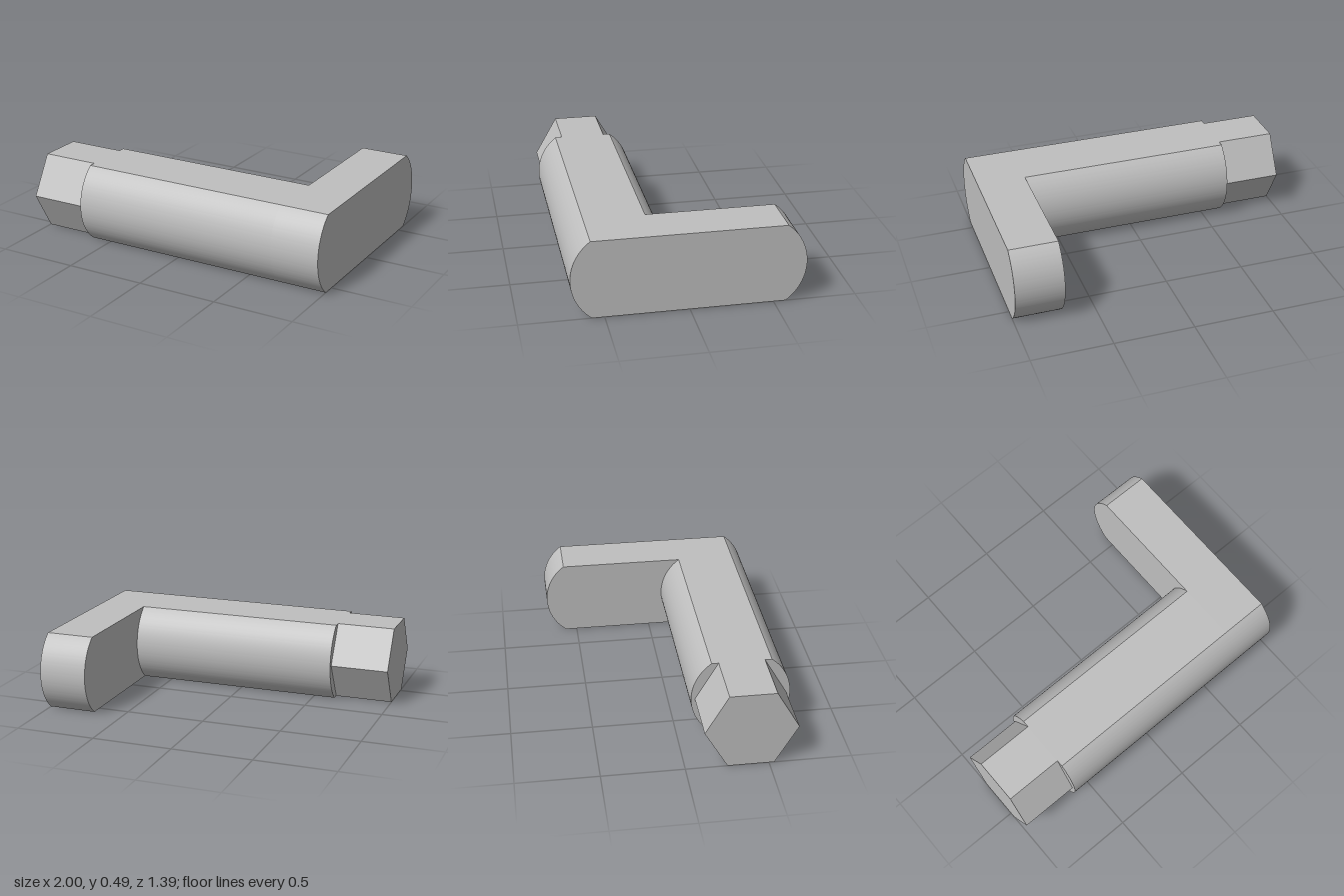
import * as THREE from 'three';
import { toCreasedNormals } from 'three/addons/utils/BufferGeometryUtils.js';

const HALF_H = 0.2425;   // half the height between the two flats
const RADIUS = 0.3035;   // radius of the rounded sides
const SHAFT_Z = 0.3915;  // axis of the shaft
const FLAT = Math.asin(HALF_H / RADIUS); // angle where arc meets flat

// Section with flat top and bottom and arced sides, arc centres at u0 and u1
function flattedSection(u0, u1) {
  const s = new THREE.Shape();
  s.absarc(u1, 0, RADIUS, -FLAT, FLAT, false);
  s.absarc(u0, 0, RADIUS, Math.PI - FLAT, Math.PI + FLAT, false);
  s.closePath();
  return s;
}

function hexSection(u) {
  const r = HALF_H / Math.cos(Math.PI / 6);
  const pts = [];
  for (let i = 0; i < 6; i++) {
    const a = (i * Math.PI) / 3;
    pts.push(new THREE.Vector2(u + r * Math.cos(a), r * Math.sin(a)));
  }
  return new THREE.Shape(pts);
}

export function createModel() {
  const group = new THREE.Group();
  const metal = new THREE.MeshStandardMaterial({ color: 0xbfbfbf });
  metal.name = 'light grey metal';

  // Extrudes a section (u = -z) along x from x0 to x1
  function addBar(name, section, x0, x1) {
    let g = new THREE.ExtrudeGeometry(section, { depth: x1 - x0, bevelEnabled: false, curveSegments: 32 });
    g.rotateY(Math.PI / 2);
    g.translate(x0, HALF_H, 0);
    g = toCreasedNormals(g, 0.4);
    const mesh = new THREE.Mesh(g, metal);
    mesh.name = name;
    group.add(mesh);
  }

  addBar('hexEnd', hexSection(-SHAFT_Z), -1, -0.635);
  addBar('shaft', flattedSection(-SHAFT_Z, -SHAFT_Z), -0.635, 0.697);
  addBar('crankArm', flattedSection(-SHAFT_Z, SHAFT_Z), 0.697, 1);
  return group;
}
